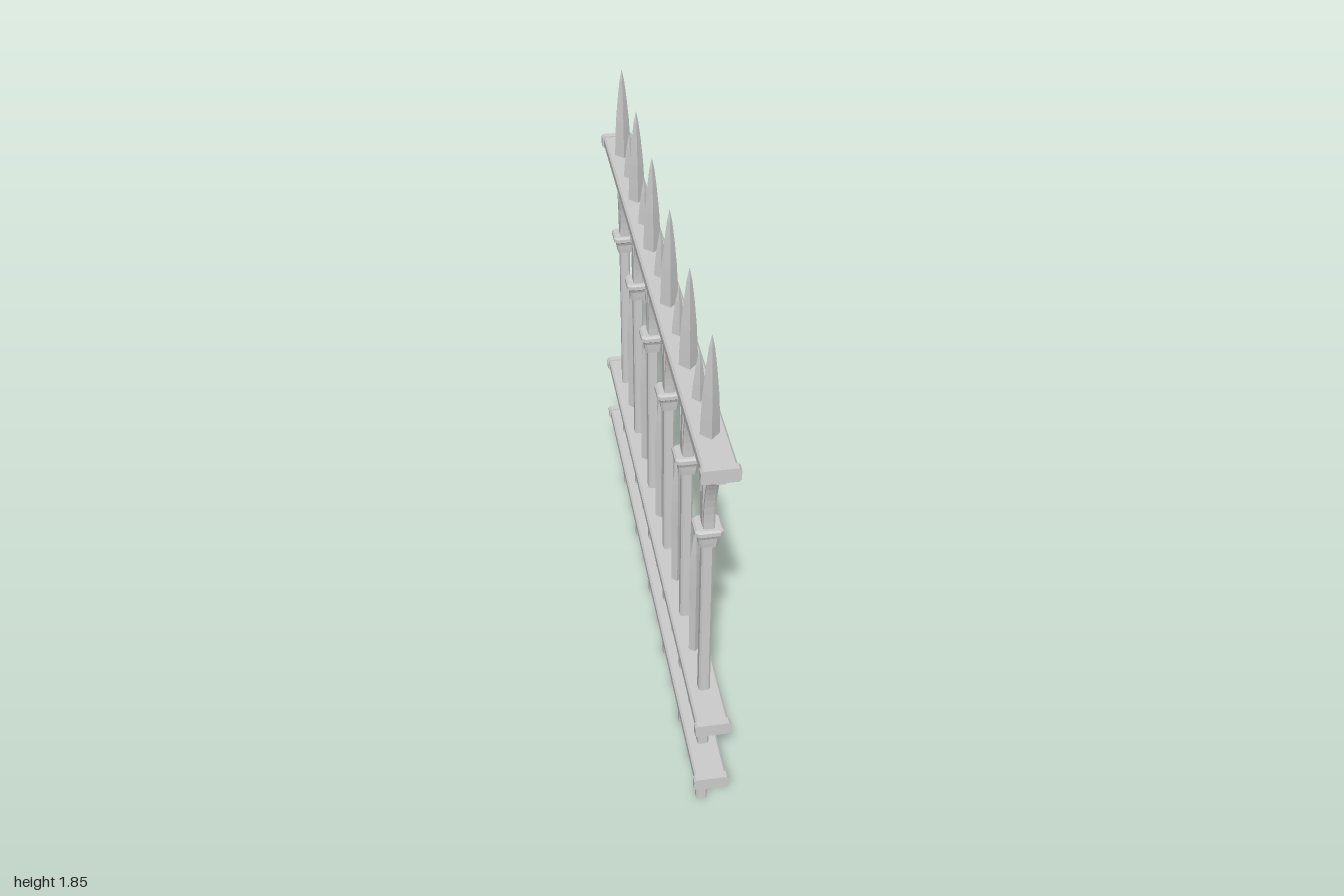
import * as THREE from 'three';

const material = new THREE.MeshStandardMaterial({ color: 0xcccccc, flatShading: true });

function add(parent, name, geometry, x = 0, y = 0, z = 0) {
  const mesh = new THREE.Mesh(geometry, material);
  mesh.name = name;
  mesh.position.set(x, y, z);
  parent.add(mesh);
  return mesh;
}

// Rectangle with cut corners, centred on the origin
function chamferedRect(w, h, c) {
  const a = w / 2, b = h / 2;
  return new THREE.Shape([
    [a - c, -b], [a, -b + c], [a, b - c], [a - c, b],
    [-a + c, b], [-a, b - c], [-a, -b + c], [-a + c, -b],
  ].map(([x, y]) => new THREE.Vector2(x, y)));
}

// Chamfered bar running along z, centred on the origin
function bar(w, h, length, c) {
  return new THREE.ExtrudeGeometry(chamferedRect(w, h, c), { depth: length, bevelEnabled: false })
    .translate(0, 0, -length / 2);
}

// Four-sided turned form with its corners on the x and z axes; profile is [radius, y]
function diamond(profile) {
  return new THREE.LatheGeometry(profile.map(([r, y]) => new THREE.Vector2(r, y)), 4);
}

// Square capital with cut corners; profile is [half width, y]
function capitalGeometry() {
  const profile = [[0.012, 1.13], [0.027, 1.13], [0.029, 1.145], [0.031, 1.165],
    [0.036, 1.177], [0.042, 1.182], [0.042, 1.195], [0.036, 1.201], [0.012, 1.201]];
  const geometry = new THREE.LatheGeometry(profile.map(([r, y]) => new THREE.Vector2(r, y)), 8);
  const p = geometry.attributes.position;
  for (let i = 0; i < p.count; i++) {
    const x = p.getX(i), z = p.getZ(i), r = Math.hypot(x, z);
    const k = Math.round(Math.atan2(z, x) / (Math.PI / 4));
    // Alternate ring points become the two ends of each cut corner
    const q = Math.floor((k + 8) / 2) * Math.PI / 2;
    const a = q + Math.PI / 4 + ((k + 8) % 2 ? 0.14 : -0.14);
    const s = r / Math.max(Math.abs(Math.cos(a)), Math.abs(Math.sin(a)));
    p.setXYZ(i, Math.cos(a) * s, p.getY(i), Math.sin(a) * s);
  }
  geometry.computeVertexNormals();
  return geometry;
}

// Quarter arch rising from a post (at 0) to the middle of the bay
function archGeometry() {
  const mid = 1 / 6, spring = 1.195, steps = 14;
  const points = [];
  const arc = (rz, ry, t) => points.push(
    new THREE.Vector2(mid - rz * Math.cos(t), spring + ry * Math.sin(t)));
  for (let i = 0; i <= steps; i++) arc(0.139, 0.283, i / steps * Math.PI / 2);
  for (let i = steps; i >= 0; i--) arc(0.156, 0.298, i / steps * Math.PI / 2);
  return new THREE.ExtrudeGeometry(new THREE.Shape(points), {
    depth: 0.022, bevelEnabled: true, bevelThickness: 0.006, bevelSize: 0.003,
    bevelOffset: -0.003, bevelSegments: 1,
  }).translate(0, 0, -0.011);
}

export function createModel() {
  const fence = new THREE.Group();
  fence.name = 'fencePanel';

  // Horizontal rails with thicker end caps
  const railGeo = bar(0.1, 0.038, 1.98, 0.006);
  const capGeo = bar(0.112, 0.046, 0.024, 0.007);
  for (const [name, y] of [['lowerRail', 0.255], ['middleRail', 0.505], ['topRail', 1.505]]) {
    const rail = new THREE.Group();
    rail.name = name;
    rail.position.y = y;
    fence.add(rail);
    add(rail, 'railBar', railGeo);
    for (const s of [-1, 1]) add(rail, 'railEndCap', capGeo, 0, 0, s * 0.988);
  }

  // Tall posts with capital, arches and spearhead
  const postGeo = bar(0.036, 0.036, 1.5, 0.006).rotateX(-Math.PI / 2).translate(0, 0.75, 0);
  const capitalGeo = capitalGeometry();
  const archGeo = archGeometry();
  const spearGeo = diamond([[0, 1.49], [0.029, 1.5], [0.027, 1.58], [0.023, 1.66],
    [0.016, 1.74], [0.008, 1.81], [0, 1.85]]);
  for (let i = 0; i < 6; i++) {
    const post = new THREE.Group();
    post.name = 'tallPost';
    post.position.z = (i - 2.5) / 3;
    fence.add(post);
    add(post, 'postShaft', postGeo);
    add(post, 'postCapital', capitalGeo);
    add(post, 'postSpearhead', spearGeo);
    for (const s of [-1, 1]) add(post, 'archBrace', archGeo).rotation.y = s * Math.PI / 2;
  }

  // Short pickets, with a small finial through the top rail above each
  const picketGeo = diamond([[0, 0], [0.017, 0], [0.017, 0.7], [0.019, 0.8], [0.018, 0.87],
    [0.014, 0.94], [0.007, 1.01], [0, 1.05]]);
  const finialGeo = diamond([[0, 1.415], [0.009, 1.43], [0.017, 1.475], [0.021, 1.52],
    [0.017, 1.575], [0.01, 1.635], [0, 1.69]]);
  for (let i = -2; i <= 2; i++) {
    add(fence, 'shortPicket', picketGeo, 0, 0, i / 3);
    add(fence, 'railFinial', finialGeo, 0, 0, i / 3);
  }
  return fence;
}
